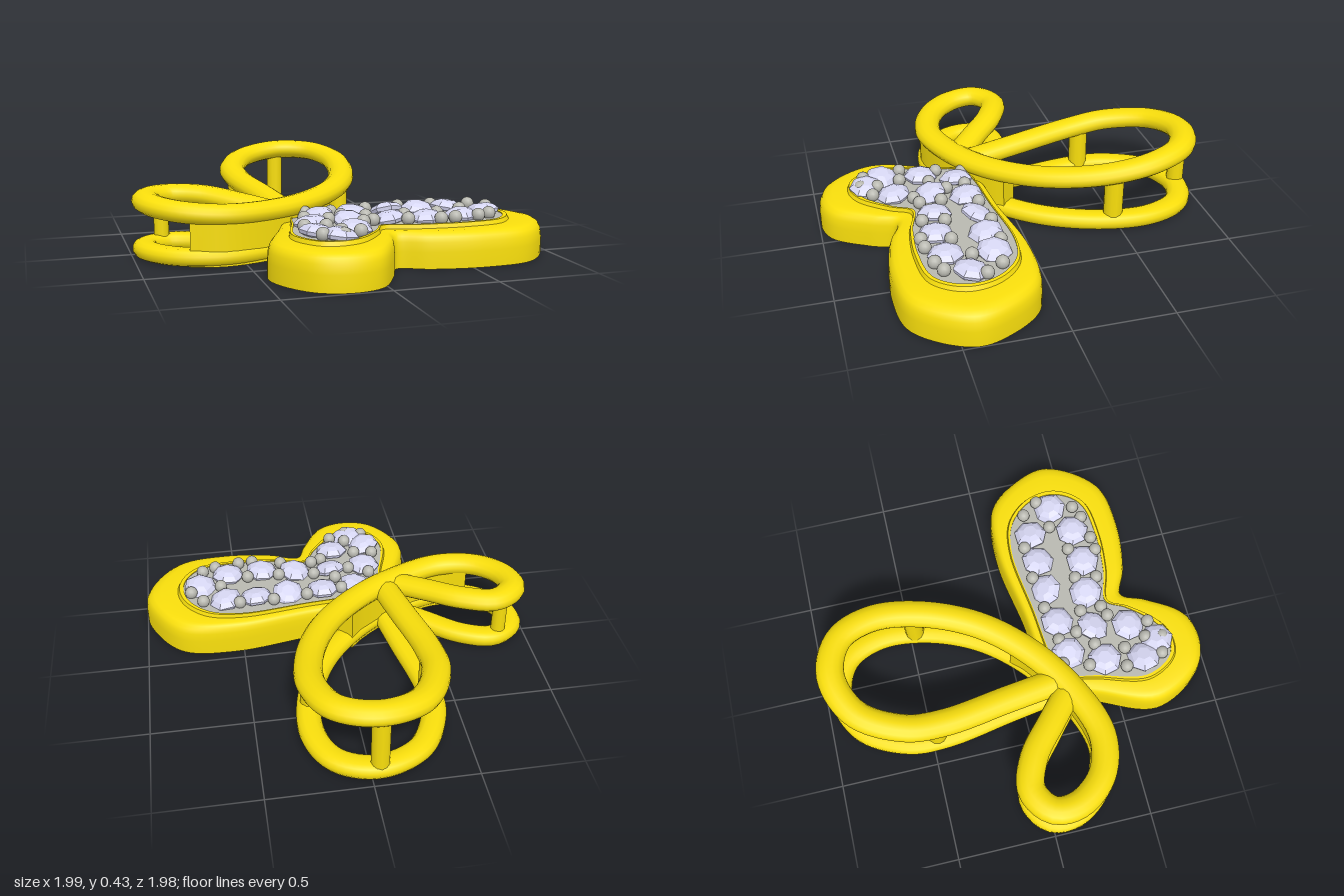
import * as THREE from 'three';
import { toCreasedNormals } from 'three/addons/utils/BufferGeometryUtils.js';

const gold = new THREE.MeshStandardMaterial({ color: 0xf8de0c });
const goldSheet = new THREE.MeshStandardMaterial({ color: 0xf8de0c, side: THREE.DoubleSide });
const grey = new THREE.MeshStandardMaterial({ color: 0xb8b8b0, side: THREE.DoubleSide });
const gemMat = new THREE.MeshStandardMaterial({ color: 0xd6d6f2, flatShading: true });

// Wire path as [x, z, y]: big rear loop, crossing, then small side loop
const WIRE = [
  [-0.27, 0.2, 0.22], [-0.315, -0.08, 0.25], [-0.37, -0.42, 0.285], [-0.36, -0.62, 0.315],
  [-0.24, -0.84, 0.35], [-0.03, -0.92, 0.375], [0.15, -0.85, 0.37], [0.232, -0.67, 0.345],
  [0.215, -0.42, 0.305], [0.1, -0.14, 0.27], [-0.1, 0.09, 0.245], [-0.34, 0.25, 0.235],
  [-0.6, 0.332, 0.24], [-0.8, 0.275, 0.255], [-0.915, 0.13, 0.27], [-0.915, 0, 0.28],
  [-0.8, -0.08, 0.28], [-0.64, -0.03, 0.275], [-0.48, 0.1, 0.25], [-0.33, 0.23, 0.22],
];

// Matching outer and inner outlines of the solid wing pair, as [x, z]
const OUTER = [
  [-0.28, 0.22], [-0.17, 0.15], [0.15, 0.11], [0.54, 0.053], [0.81, 0.09], [0.95, 0.26],
  [0.995, 0.44], [0.82, 0.695], [0.56, 0.74], [0.3, 0.705], [0.15, 0.65], [0.09, 0.77],
  [-0.03, 0.95], [-0.18, 0.99], [-0.34, 0.93], [-0.47, 0.685], [-0.37, 0.4],
];
const INNER = [
  [-0.24, 0.25], [-0.15, 0.2], [0.15, 0.165], [0.5, 0.13], [0.66, 0.17], [0.77, 0.29],
  [0.785, 0.44], [0.7, 0.56], [0.5, 0.595], [0.28, 0.58], [0.11, 0.545], [0.05, 0.64],
  [-0.07, 0.77], [-0.17, 0.81], [-0.26, 0.79], [-0.335, 0.65], [-0.28, 0.4],
];

const GEMS = [
  [-0.13, 0.28], [0.05, 0.265], [0.24, 0.255], [0.41, 0.25], [0.57, 0.25], [-0.205, 0.455],
  [-0.015, 0.44], [0.18, 0.455], [0.36, 0.485], [0.545, 0.475], [0.7, 0.39], [-0.24, 0.655],
  [-0.05, 0.62], [-0.16, 0.745],
];
const BEADS = [
  [-0.18, 0.24], [-0.05, 0.25], [0.14, 0.22], [0.32, 0.2], [0.5, 0.2], [0.69, 0.24],
  [-0.22, 0.37], [-0.03, 0.35], [0.08, 0.4], [0.27, 0.42], [0.44, 0.425], [0.59, 0.36],
  [0.75, 0.325], [-0.115, 0.425], [-0.27, 0.555], [-0.17, 0.57], [0.025, 0.53], [0.08, 0.51],
  [0.25, 0.53], [0.405, 0.565], [0.48, 0.56], [0.61, 0.54], [0.68, 0.51], [-0.135, 0.69],
  [-0.24, 0.75], [-0.15, 0.775], [-0.055, 0.725],
];

function add(parent, name, geometry, material, x = 0, y = 0, z = 0) {
  const mesh = new THREE.Mesh(geometry, material);
  mesh.name = name;
  mesh.position.set(x, y, z);
  parent.add(mesh);
  return mesh;
}

// Tube with an oval section, lower than it is wide
function wire(points, radius, squash) {
  const path = new THREE.CatmullRomCurve3(points.map(([x, z, y]) => new THREE.Vector3(x, y / squash, z)));
  return new THREE.TubeGeometry(path, 140, radius, 14).scale(1, squash, 1);
}

// Wire lying on the ground, slightly flattened above and below
function baseWire() {
  const g = wire(WIRE.map(([x, z]) => [x * 1.01, z, 0.041]), 0.062, 0.8);
  const pos = g.attributes.position;
  for (let i = 0; i < pos.count; i++) pos.setY(i, THREE.MathUtils.clamp(pos.getY(i), 0, 0.082));
  return toCreasedNormals(g, 0.8);
}

const closedCurve = (pts) =>
  new THREE.CatmullRomCurve3(pts.map(([x, z]) => new THREE.Vector3(x, 0, z)), true, 'centripetal');

// Hollow rim: a section swept between the outer and inner outlines
function rimGeometry() {
  const section = [
    [0, 0], [0, 0.08], [0.03, 0.125], [0.1, 0.15], [0.22, 0.165], [0.4, 0.172], [0.84, 0.172], [0.89, 0.192],
    [1, 0.192], [1, 0.135], [0.6, 0.128], [0.32, 0.11], [0.19, 0.07], [0.14, 0],
  ];
  const outer = closedCurve(OUTER), inner = closedCurve(INNER);
  const n = 136, m = section.length, pos = [], index = [];
  for (let i = 0; i < n; i++) {
    const a = outer.getPoint(i / n), b = inner.getPoint(i / n);
    for (const [k, y] of section) pos.push(a.x + (b.x - a.x) * k, y, a.z + (b.z - a.z) * k);
    for (let j = 0; j < m; j++) {
      const i2 = (i + 1) % n, j2 = (j + 1) % m;
      const p = i * m + j, q = i * m + j2, r = i2 * m + j, s = i2 * m + j2;
      index.push(p, q, r, q, s, r);
    }
  }
  const g = new THREE.BufferGeometry();
  g.setAttribute('position', new THREE.Float32BufferAttribute(pos, 3));
  g.setIndex(index);
  return toCreasedNormals(g, 0.7);
}

// Flat-lying shape from [x, z] points
function flatShape(points) {
  return new THREE.Shape(points.map(([x, z]) => new THREE.Vector2(x, -z)));
}

export function createModel() {
  const model = new THREE.Group();

  // Open wings: raised wire, base wire and the supports between them
  const open = new THREE.Group();
  open.name = 'openWings';
  model.add(open);
  add(open, 'upperWire', wire(WIRE, 0.07, 0.74), gold);
  add(open, 'baseWire', baseWire(), gold);
  for (const [x, z, top, r] of [
    [-0.04, -0.925, 0.37, 0.045], [-0.365, -0.47, 0.29, 0.05], [0.22, -0.47, 0.31, 0.05],
    [-0.84, -0.065, 0.28, 0.038],
  ]) {
    add(open, 'post', new THREE.CylinderGeometry(r, r, top - 0.04, 12), gold, x, (top + 0.04) / 2, z);
  }

  // Upright wall under the front of the wire
  const spine = new THREE.CatmullRomCurve3(
    [[-0.75, 0.29], [-0.6, 0.33], [-0.34, 0.25], [-0.1, 0.09], [-0.03, 0.02]].map(([x, z]) => new THREE.Vector3(x, 0, z)));
  const sideA = [], sideB = [];
  for (let i = 0; i <= 20; i++) {
    const p = spine.getPoint(i / 20), t = spine.getTangent(i / 20);
    sideA.push([p.x - t.z * 0.05, p.z + t.x * 0.05]);
    sideB.unshift([p.x + t.z * 0.05, p.z - t.x * 0.05]);
  }
  const wall = new THREE.ExtrudeGeometry(flatShape([...sideA, ...sideB]), { depth: 0.235, bevelEnabled: false });
  add(open, 'supportWall', toCreasedNormals(wall.rotateX(-Math.PI / 2), 0.6), gold);

  // Solid wings: hollow rim with a bed for the stones
  const solid = new THREE.Group();
  solid.name = 'solidWings';
  model.add(solid);
  add(solid, 'rim', rimGeometry(), gold);
  const bedPoints = closedCurve(INNER).getPoints(136).slice(0, -1).map((p) => [p.x, p.z]);
  const bed = new THREE.ShapeGeometry(flatShape(bedPoints)).rotateX(-Math.PI / 2);
  add(solid, 'stoneBed', bed, grey, 0, 0.187, 0);
  add(solid, 'bedUnderside', bed, goldSheet, 0, 0.137, 0);

  // Faceted stones, each over a rounded seat below the bed
  const gem = new THREE.LatheGeometry(
    [[0, -0.03], [0.08, -0.005], [0.088, 0.012], [0.066, 0.034], [0.036, 0.046], [0, 0.046]].map(([x, y]) => new THREE.Vector2(x, y)), 7);
  const seat = new THREE.SphereGeometry(0.068, 10, 6).scale(1, 0.5, 1);
  GEMS.forEach(([x, z], i) => {
    const stone = add(solid, 'stone', gem, gemMat, x, 0.19, z);
    stone.rotation.set(0.22 * Math.sin(i * 2.3), i * 0.9, 0.22 * Math.cos(i * 1.7));
    add(solid, 'stoneSeat', seat, gold, x, 0.14, z);
  });

  // Round beads holding the stones
  const bead = new THREE.SphereGeometry(0.033, 14, 10);
  for (const [x, z] of BEADS) add(solid, 'bead', bead, grey, x, 0.21, z);

  return model;
}
